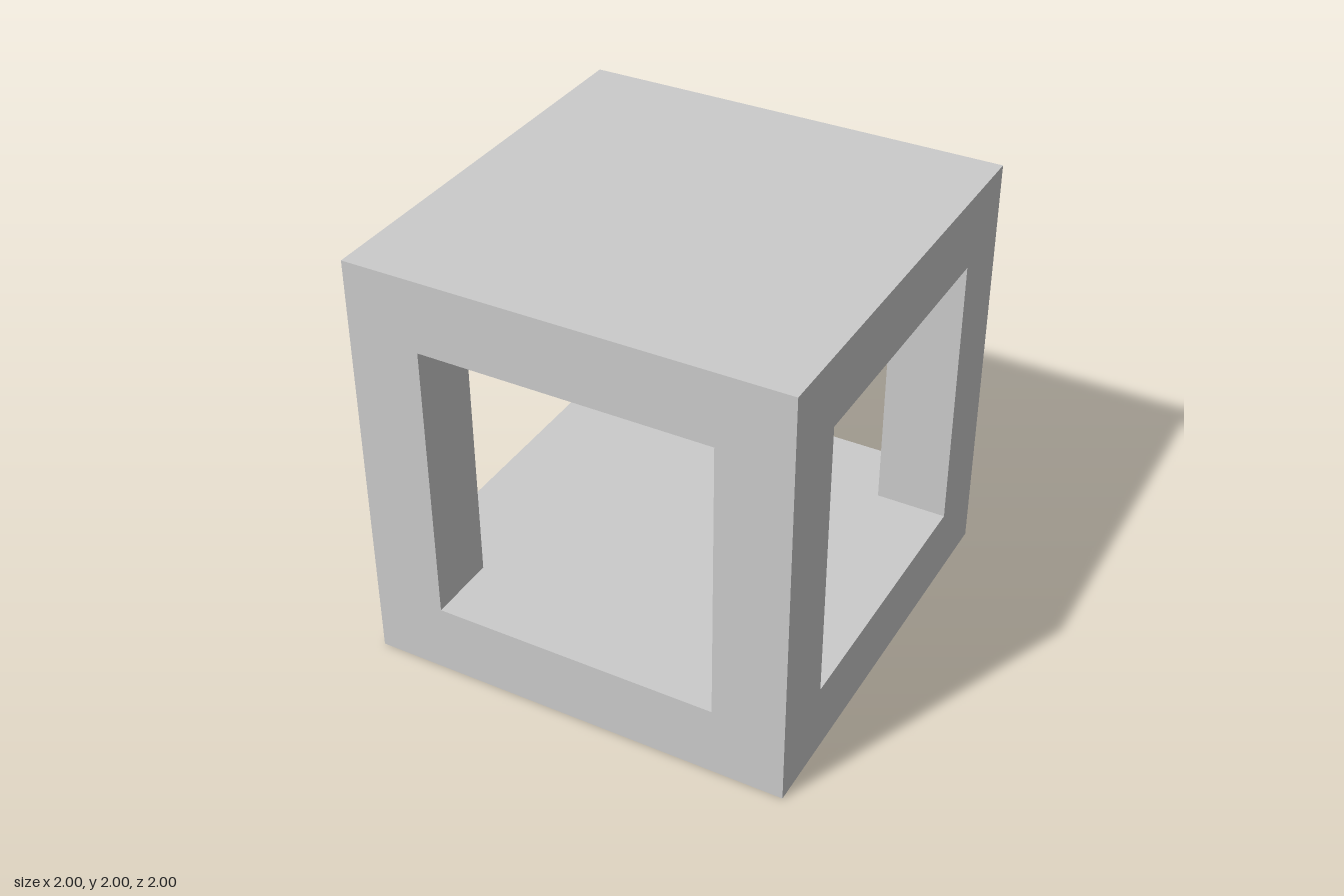
import * as THREE from 'three';

const R = 1;          // half the cube's side
const H = 2 / 3;      // half the opening's side
const T = R - H;      // thickness of posts and slabs

const square = (s) => [[-s, -s], [s, -s], [s, s], [-s, s]].map(([x, y]) => new THREE.Vector2(x, y));

export function createModel() {
  const model = new THREE.Group();
  model.name = 'openCube';
  const material = new THREE.MeshStandardMaterial({ color: 0xcccccc, flatShading: true });

  const add = (name, geometry, parent) => {
    const mesh = new THREE.Mesh(geometry, material);
    mesh.name = name;
    parent.add(mesh);
  };

  // One side: outer frame with a square window, plus the corner post's inner faces
  const frameShape = new THREE.Shape(square(R));
  frameShape.holes.push(new THREE.Path(square(H).reverse()));
  const frame = new THREE.ShapeGeometry(frameShape);
  const postFace = new THREE.PlaneGeometry(T, 2 * H);
  const postSide = postFace.clone().rotateY(-Math.PI / 2).translate(H, 0, R - T / 2);
  const postBack = postFace.clone().rotateY(Math.PI).translate(R - T / 2, 0, H);
  frame.translate(0, 0, R);

  ['front', 'left', 'back', 'right'].forEach((name, i) => {
    const side = new THREE.Group();
    side.name = name + 'Side';
    side.position.y = R;
    side.rotation.y = i * Math.PI / 2;
    add('windowFrame', frame, side);
    add('postInnerSide', postSide, side);
    add('postInnerBack', postBack, side);
    model.add(side);
  });

  // Inner floor and ceiling: a cross that leaves out the four post corners
  const cross = [];
  for (let i = 0; i < 4; i++) {
    for (const [x, y] of [[R, -H], [R, H], [H, H]]) {
      cross.push(new THREE.Vector2(x, y).rotateAround(new THREE.Vector2(), i * Math.PI / 2));
    }
  }
  const inner = new THREE.ShapeGeometry(new THREE.Shape(cross));
  add('innerFloor', inner.clone().rotateX(-Math.PI / 2).translate(0, T, 0), model);
  add('innerCeiling', inner.clone().rotateX(Math.PI / 2).translate(0, 2 * R - T, 0), model);

  // Solid outer top and bottom
  const plate = new THREE.PlaneGeometry(2 * R, 2 * R);
  add('top', plate.clone().rotateX(-Math.PI / 2).translate(0, 2 * R, 0), model);
  add('bottom', plate.clone().rotateX(Math.PI / 2), model);

  return model;
}
